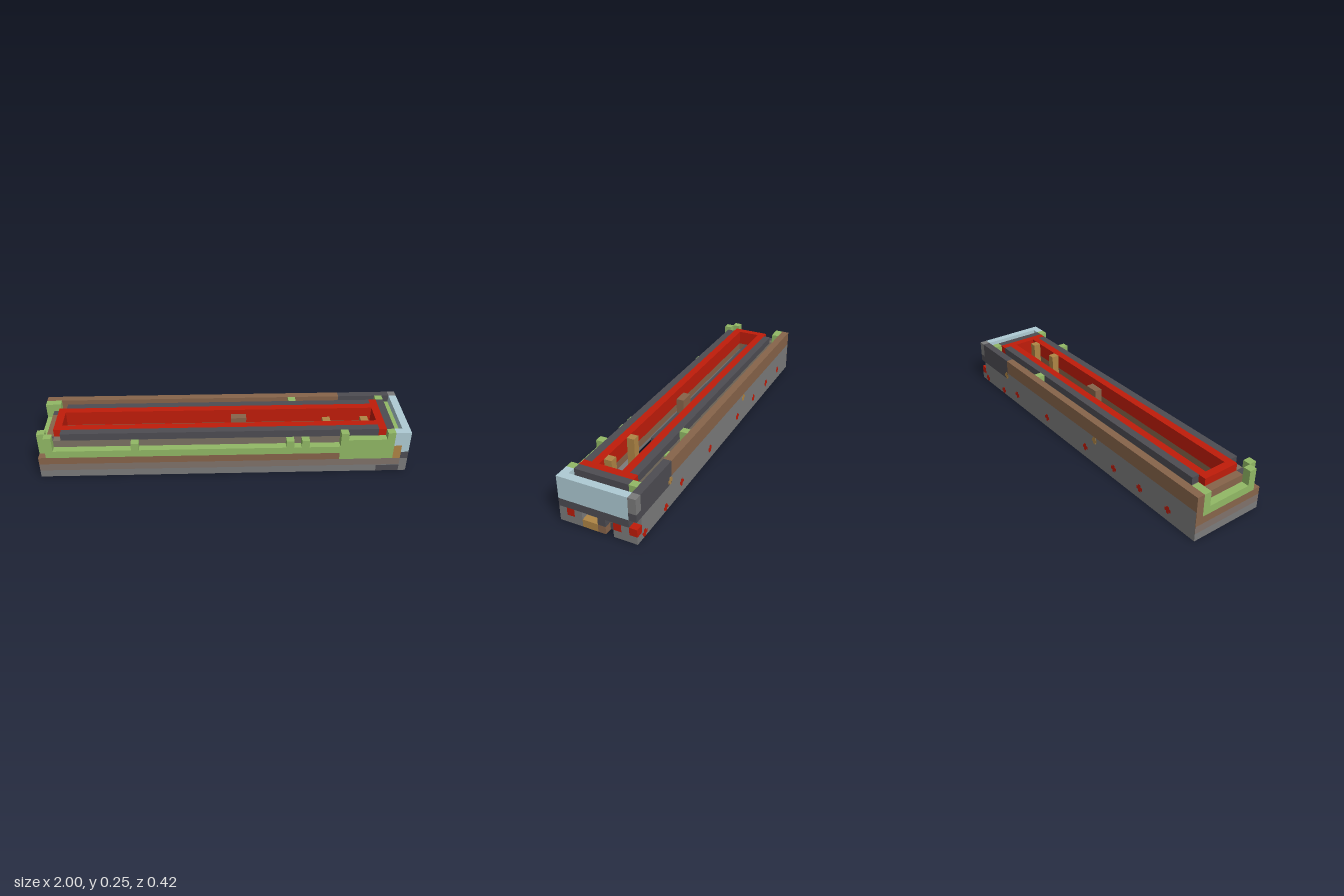
import * as THREE from 'three';

const U = 1 / 24; // one block
const mat = (name, color) => Object.assign(new THREE.MeshStandardMaterial({ color }), { name });

export function createModel() {
  const root = new THREE.Group();
  root.name = 'blockTrench';
  const grass = mat('grassGreen', 0x91b865), red = mat('red', 0xc01c0a), glass = mat('paleBlue', 0xaecbd4),
    dark = mat('darkGrey', 0x4d4c52), stone = mat('stoneGrey', 0x7b7b7b), earth = mat('earthBrown', 0x87644a),
    taupe = mat('taupe', 0x7b7162), ochre = mat('ochre', 0xaf8545), mid = mat('greyBrown', 0x80726a);

  // Box given by its limits in blocks: x 0..48, y 0..6, z 0..10 (back to front)
  const box = (name, m, x0, x1, y0, y1, z0, z1) => {
    const mesh = new THREE.Mesh(new THREE.BoxGeometry((x1 - x0) * U, (y1 - y0) * U, (z1 - z0) * U), m);
    mesh.position.set(((x0 + x1) / 2 - 24) * U, (y0 + y1) / 2 * U, ((z0 + z1) / 2 - 5) * U);
    mesh.name = name;
    root.add(mesh);
  };

  // Closed base under the right half, with stains on its underside
  box('floor', stone, 34, 47, 0, 1, 1, 9);
  box('undersideStain', dark, 44.5, 47, -0.015, 0.02, 4.5, 10);
  box('undersideSpot', ochre, 40.4, 41.2, -0.015, 0.02, 6.9, 7.6);
  box('undersideSpot', ochre, 39, 39.7, -0.015, 0.02, 6.1, 6.8);

  // Front wall and end wall in earth layers
  for (const [name, m, y0, y1] of [['stoneLayer', stone, 0, 1], ['mixedLayer', mid, 1, 2], ['earthLayer', earth, 2, 3]]) {
    box(name + 'Front', m, 0, y0 === 2 ? 39 : 47, y0, y1, 9, 10);
    box(name + 'End', m, 0, 1, y0, y1, 1, 9);
  }
  box('darkPatch', dark, 44, 47, 0, 0.9, 9.95, 10.015);

  // Back wall
  box('backWallStone', stone, 0.05, 40, 0, 4, 0, 1);
  box('backWallEarth', earth, 0, 40, 4, 6, 0, 1);
  box('backWallStoneLow', stone, 40, 47, 0, 3, 0, 1);
  box('backWallDark', dark, 40, 47, 3, 6, 0, 1);
  for (const [m, y] of [[stone, 0], [mid, 1], [earth, 2], [earth, 3]]) box('endFacing', m, 0, 0.05, y, y + 1, 0, 1);

  // Small crosses painted on the back wall
  const cross = (m, x, y) => {
    box('backSpot', m, x - 0.5, x + 0.5, y - 0.22, y + 0.22, -0.015, 0.03);
    box('backSpot', m, x - 0.22, x + 0.22, y - 0.5, y + 0.5, -0.015, 0.03);
  };
  for (const x of [4.5, 9.5, 14.5, 20.5, 29.5, 37.5]) cross(red, x, 1.5);
  for (const x of [41.5, 46.4]) cross(red, x, 0.52);
  for (const x of [18.5, 40.3]) cross(ochre, x, 3.5);

  // Grass ledges
  box('grassFront', grass, 1, 39, 3, 4, 9, 10);
  box('grassFrontHigh', grass, 39, 46, 2, 5, 9, 10);
  box('grassBack', grass, 1, 46, 3, 4, 1, 2);
  box('grassEnd', grass, 0, 1, 3, 4, 1, 9);
  for (const x of [12, 32, 34]) box('grassBumpFront', grass, x, x + 1, 4, 5, 9, 10);
  box('grassPostFront', grass, 39, 40, 5, 6, 9, 10);
  box('grassPostFront', grass, 45, 46, 5, 6, 9, 10);
  box('grassPostBack', grass, 33, 34, 4, 6, 1, 2);
  box('grassBumpBack', grass, 37, 38, 4, 5, 1, 2);
  box('grassPostBack', grass, 45, 46, 4, 6, 1, 2);
  for (const [x, z] of [[0, 1], [0, 8], [1, 1], [1, 9]]) box('cornerPost', grass, x, x + 1, 4, 6, z, z + 1);

  // Inner steps below the ledges, narrowing upward
  box('stepBack', stone, 1, 46, 1, 3, 1, 2);
  box('stepEnd', stone, 1, 2, 1, 3, 2, 8);
  box('stepEndEarth', earth, 1, 2, 3, 4, 2, 9);
  box('stepEndTop', earth, 1, 2, 4, 5, 3, 8);
  for (const z of [2, 8]) {
    box('stepEndCorner', dark, 1, 2, 4, 5, z, z + 1);
    box('railFoot', earth, 2, 45, 2, 4, z, z + 1);
    box('railSide', taupe, 2, 45, 4, 5, z, z + 1);
    box('railTop', dark, 3, 44, 5, 6, z, z + 1);
  }

  // Red frame on an earth footing
  for (const z of [3, 7]) {
    box('redRail', red, 3, 44, 4, 6, z, z + 1);
    box('redRailFooting', earth, 3, 44, 3, 4, z, z + 1);
  }
  box('redEnd', red, 2, 3, 4, 6, 3, 8);
  box('redEndFooting', earth, 2, 3, 3, 4, 3, 8);
  box('redEnd', red, 44, 45, 5, 6, 2, 9);
  box('redEndLower', red, 44, 45, 1, 5, 3, 8);

  // Centre beam, post and items on the floor
  box('beam', dark, 3, 34, 3, 4, 5, 6);
  box('beamPost', earth, 25, 27, 0, 6, 5, 6);
  box('floorGrass', grass, 35, 44, 1, 2, 5, 6);
  box('floorBlock', ochre, 34, 35, 1, 3, 5, 6);
  for (const x of [37, 42]) box('floorPost', ochre, x, x + 1, 1, 6, 6, 7);

  // Solid right end behind the face
  box('endCore', stone, 45, 47, 1, 4, 2, 9);
  box('endCoreDark', dark, 45, 46, 4, 6, 2, 9);
  box('endCoreGrass', grass, 46, 47, 4, 5, 1, 9);
  box('frontCornerClay', ochre, 46, 47, 2, 4, 9, 10);
  box('frontCornerGlass', glass, 46, 47, 4, 6, 9, 10);

  // End face, block by block
  box('glassBand', glass, 47, 48, 3, 6, 1, 10);
  box('darkBand', dark, 47, 48, 2, 3, 1, 10);
  const face = [
    [stone, 0, 2, 7, 8], [stone, 0, 2, 9, 10], [stone, 0, 1, 8, 9], [red, 1, 2, 8, 9],
    [ochre, 0, 1, 5, 7], [earth, 0, 1, 4, 5], [dark, 1, 2, 4, 5],
    [stone, 0, 1, 2, 3], [red, 1, 2, 2, 3], [stone, 0, 2, 1, 2],
    [stone, 0, 1, 0, 1], [red, 1, 2, 0, 1], [dark, 3, 4, 0, 1], [stone, 4, 6, 0, 1],
  ];
  for (const [m, y0, y1, z0, z1] of face) box('endBlock', m, 47, 48, y0, y1, z0, z1);
  box('recessBack', taupe, 46.9, 47.03, 1, 2, 5, 7);
  box('slotBack', taupe, 46.9, 47.03, 1, 2, 3, 4);
  box('slotBackLow', dark, 46.9, 47.03, 0, 1, 3, 4);
  return root;
}
